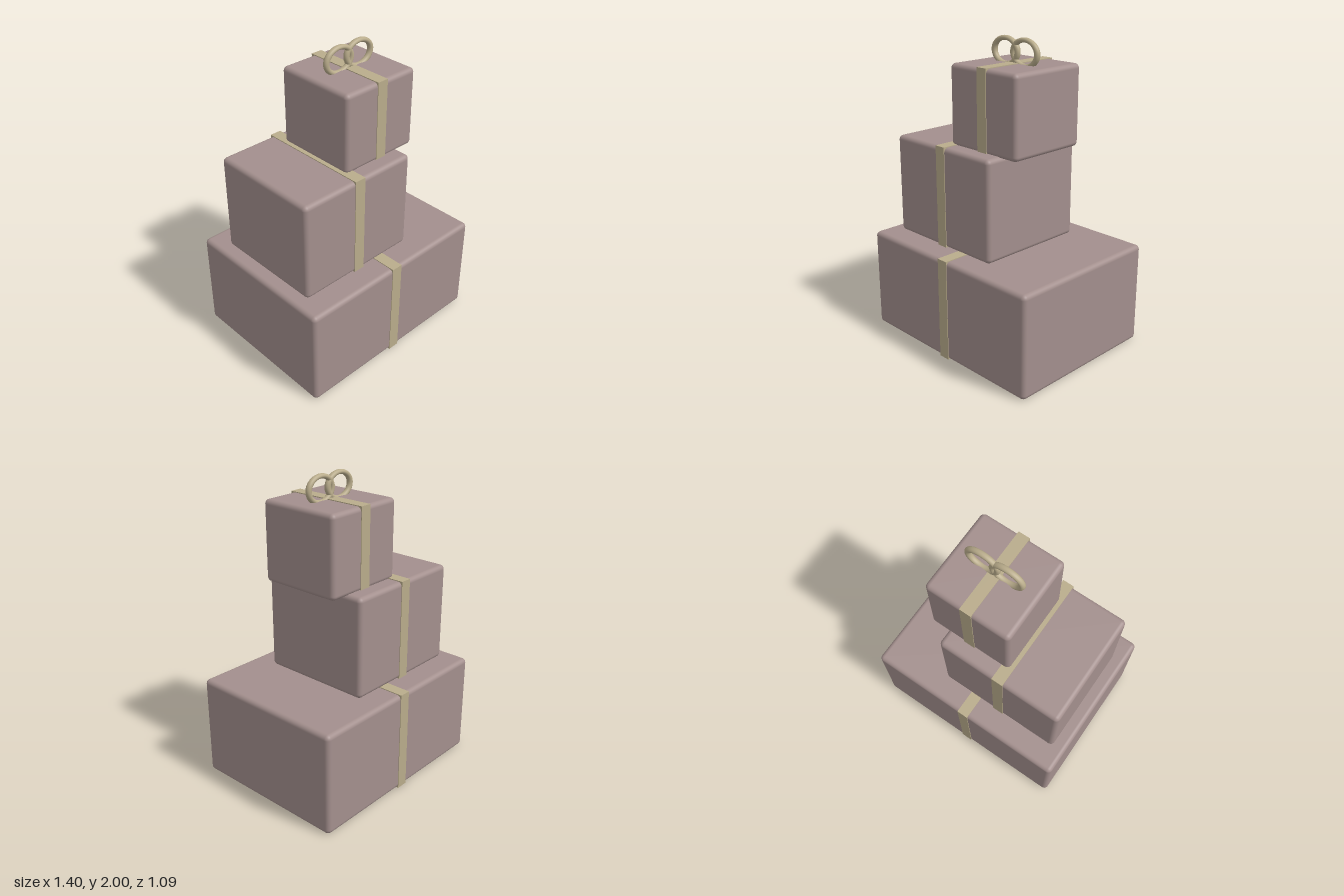
import * as THREE from 'three';
import { RoundedBoxGeometry } from 'three/addons/geometries/RoundedBoxGeometry.js';

const paper = new THREE.MeshStandardMaterial({ color: 0xa38f8d });
paper.name = 'dusty pink paper';
const gold = new THREE.MeshStandardMaterial({ color: 0xb9ac8b });
gold.name = 'pale gold ribbon';

// One gift: a soft-edged box with a crisp ribbon band wrapped front to back
function makeGift(name, { x0, x1, y0, y1, z, ribbonX }) {
  const gift = new THREE.Group();
  gift.name = name;
  const box = new THREE.Mesh(new RoundedBoxGeometry(x1 - x0, y1 - y0, z * 2, 4, 0.03), paper);
  box.name = name + 'Box';
  box.position.set((x0 + x1) / 2, (y0 + y1) / 2, 0);

  const bottom = y0 + 0.003;
  const top = y1 + 0.005;
  const ribbon = new THREE.Mesh(new THREE.BoxGeometry(0.077, top - bottom, (z + 0.004) * 2), gold);
  ribbon.name = name + 'Ribbon';
  ribbon.position.set(ribbonX, (top + bottom) / 2, 0);
  gift.add(box, ribbon);
  return gift;
}

export function createModel() {
  const model = new THREE.Group();
  model.name = 'giftStack';

  // Three stacked gifts, each shifted sideways
  model.add(
    makeGift('largeGift', { x0: -0.7, x1: 0.7, y0: 0, y1: 0.675, z: 0.541, ribbonX: -0.002 }),
    makeGift('mediumGift', { x0: -0.612, x1: 0.245, y0: 0.672, y1: 1.333, z: 0.383, ribbonX: -0.183 }),
    makeGift('smallGift', { x0: -0.196, x1: 0.369, y0: 1.322, y1: 1.84, z: 0.281, ribbonX: 0.088 })
  );

  // Bow: two flattened loops overlapping above the top ribbon
  const bow = new THREE.Group();
  bow.name = 'bow';
  for (const side of [-1, 1]) {
    const loop = new THREE.Mesh(new THREE.TorusGeometry(0.099, 0.019, 16, 48), gold);
    loop.name = side < 0 ? 'rightBowLoop' : 'leftBowLoop';
    loop.scale.y = 0.79;
    loop.position.set(0.088 + side * 0.081, 1.907, 0);
    bow.add(loop);
  }
  model.add(bow);
  return model;
}
